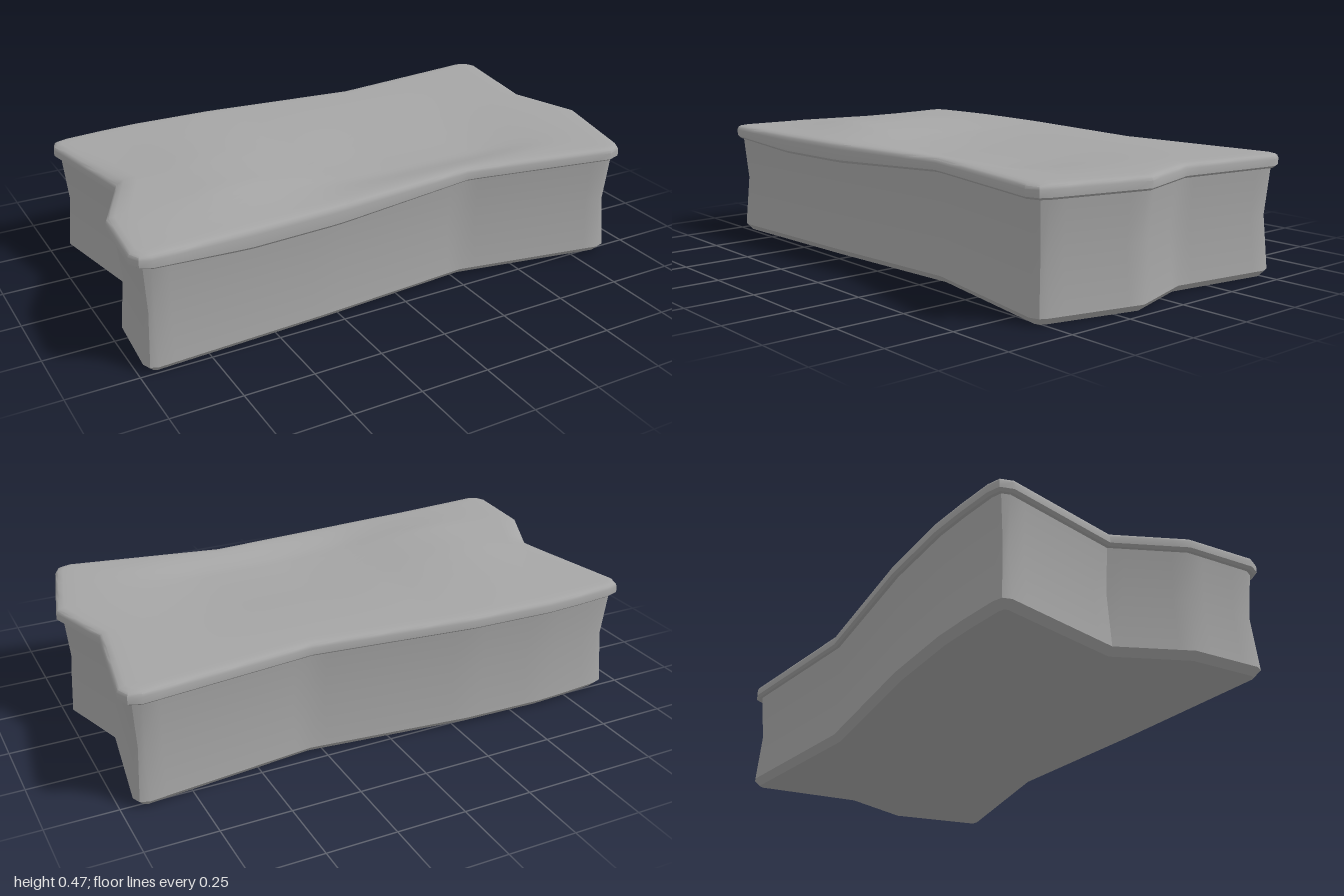
import * as THREE from 'three';
import { toCreasedNormals } from 'three/addons/utils/BufferGeometryUtils.js';

// Plan of the lid as x, z corners, starting at the back left of the plan
const OUTLINE = [
  [-0.89, -0.537], [-0.75, -0.551], [-0.61, -0.56], [-0.3, -0.551], [0.3, -0.487],
  [0.91, -0.556], [0.955, -0.54], [0.975, -0.495], [0.917, -0.1], [1, 0.16],
  [0.917, 0.505], [0.898, 0.542], [0.85, 0.558], [0.28, 0.453], [-0.3, 0.497],
  [-0.94, 0.53], [-0.98, 0.515], [-1, 0.473], [-0.982, 0.21], [-0.864, -0.035],
  [-0.952, -0.475], [-0.937, -0.521],
];

// Moves every corner inwards by the same distance from its two edges
function insetOutline(d) {
  const n = OUTLINE.length;
  const normal = (a, b) => {
    const l = Math.hypot(b[0] - a[0], b[1] - a[1]);
    return [(b[1] - a[1]) / l, (a[0] - b[0]) / l];
  };
  return OUTLINE.map((p, i) => {
    const u = normal(OUTLINE[(i + n - 1) % n], p);
    const v = normal(p, OUTLINE[(i + 1) % n]);
    const k = d / (1 + u[0] * v[0] + u[1] * v[1]);
    return [p[0] - k * (u[0] + v[0]), p[1] - k * (u[1] + v[1])];
  });
}

// Splits long edges evenly so that the surface can undulate
function subdivide(points) {
  return points.flatMap((p, i) => {
    const j = (i + 1) % points.length;
    const a = OUTLINE[i], b = OUTLINE[j], q = points[j];
    const steps = Math.max(1, Math.round(Math.hypot(b[0] - a[0], b[1] - a[1]) / 0.06));
    return Array.from({ length: steps }, (_, s) => {
      const t = s / steps;
      return [p[0] + (q[0] - p[0]) * t, p[1] + (q[1] - p[1]) * t];
    });
  });
}

// Skins a stack of rings, each { inset, scale, y(x, z) }; scale 0 closes the skin
function skin(rings) {
  const position = [], index = [];
  const count = subdivide(OUTLINE).length;
  for (const { inset, scale = 1, y } of rings) {
    for (const [px, pz] of subdivide(insetOutline(inset))) {
      const x = px * scale, z = pz * scale;
      position.push(x, typeof y === 'function' ? y(x, z) : y, z);
    }
  }
  for (let r = 0; r < rings.length - 1; r++) {
    for (let i = 0; i < count; i++) {
      const j = (i + 1) % count;
      const a = r * count + i, b = r * count + j, c = a + count, d = b + count;
      if (rings[r].scale !== 0) index.push(a, c, b);
      if (rings[r + 1].scale !== 0) index.push(b, c, d);
    }
  }
  const geometry = new THREE.BufferGeometry();
  geometry.setAttribute('position', new THREE.Float32BufferAttribute(position, 3));
  geometry.setIndex(index);
  return toCreasedNormals(geometry, 0.62);
}

// Trapezoid: 0 outside a..d, 1 between b and c
const ramp = (v, a, b, c, d) =>
  THREE.MathUtils.clamp(Math.min((v - a) / (b - a), (d - v) / (d - c)), 0, 1);
const softRamp = (...args) => THREE.MathUtils.smoothstep(ramp(...args), 0, 1);

// Front rim sags; the top has a low rise on one side and a shallow hollow near the front
const sag = (x, z) => ramp(x, -0.97, -0.6, -0.25, 0.3) * ramp(z, 0.25, 0.4, 1, 2);
const rise = (x, z) => 0.026 * ramp(x, -0.96, -0.62, -0.52, -0.2) * ramp(z, -0.54, -0.04, 0.22, 0.5);
const hollow = (x, z) => 0.03 * softRamp(x, -0.45, 0.1, 0.4, 0.85) * softRamp(z, -0.4, 0.22, 0.27, 0.44);
const rim = (height, drop) => (x, z) => height - drop * sag(x, z);
const top = (x, z) => 0.441 - 0.005 * sag(x, z) + rise(x, z) - hollow(x, z);

export function createModel() {
  const group = new THREE.Group();
  group.name = 'slab';
  const grey = new THREE.MeshStandardMaterial({ color: 0xa5a5a5 });
  grey.name = 'stone grey';

  const add = (name, rings) => {
    const mesh = new THREE.Mesh(skin(rings), grey);
    mesh.name = name;
    group.add(mesh);
  };

  // Body with chamfered foot and pinched waist
  add('body', [
    { inset: 0.046, scale: 0, y: 0 },
    { inset: 0.046, y: 0 },
    { inset: 0.022, y: 0.025 },
    { inset: 0.039, y: 0.22 },
    { inset: 0.022, y: 0.4 },
  ]);

  // Overhanging lid with rounded rim and undulating top
  const topRings = Array.from({ length: 18 }, (_, i) => ({ inset: 0.03, scale: 1 - i / 17, y: top }));
  add('lid', [
    { inset: 0.06, y: rim(0.395, 0.03) },
    { inset: 0.01, y: rim(0.392, 0.028) },
    { inset: 0, y: rim(0.4, 0.026) },
    { inset: 0, y: rim(0.424, 0.01) },
    { inset: 0.004, y: rim(0.433, 0.007) },
    { inset: 0.011, y: rim(0.438, 0.005) },
    ...topRings,
  ]);
  return group;
}
